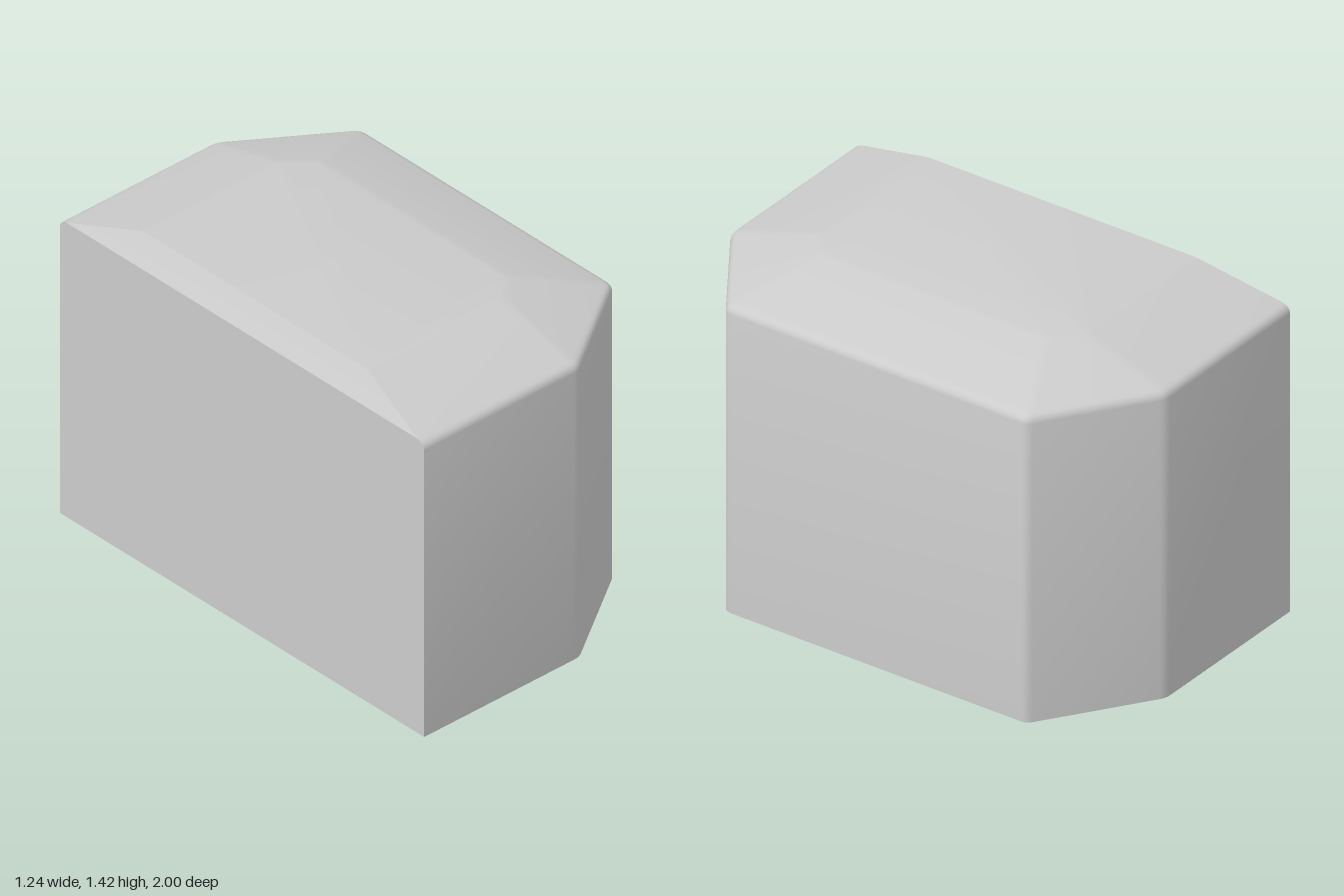
import * as THREE from 'three';
import { toCreasedNormals } from 'three/addons/utils/BufferGeometryUtils.js';

// Half outline of one level: flat side, front corner and chamfer corner, mirrored to the back
function ring({ y, xl = -0.62, zf, xb, xc, zc }) {
  const A = new THREE.Vector2(xl, zf), B = new THREE.Vector2(xb, zf);
  const C = new THREE.Vector2(xc, zc), D = new THREE.Vector2(xc, 0);
  const half = [A];
  // softened vertical corners
  for (const [p, q, r] of [[A, B, C], [B, C, D]]) {
    const s = q.clone().add(p.clone().sub(q).setLength(0.025));
    const e = q.clone().add(r.clone().sub(q).setLength(0.025));
    half.push(...new THREE.QuadraticBezierCurve(s, q, e).getPoints(3));
  }
  const back = half.map((p) => new THREE.Vector2(p.x, -p.y)).reverse();
  return [...half, ...back].map((p) => new THREE.Vector3(p.x, y, p.y));
}

// Skin stacked rings and close both ends
function loft(rings) {
  const pos = [];
  const tri = (...v) => v.forEach((p) => pos.push(p.x, p.y, p.z));
  const n = rings[0].length;
  for (let k = 0; k < rings.length - 1; k++) {
    const lo = rings[k], hi = rings[k + 1];
    for (let i = 0; i < n; i++) {
      const j = (i + 1) % n;
      tri(lo[i], lo[j], hi[j]);
      tri(lo[i], hi[j], hi[i]);
    }
  }
  const bottom = rings[0], top = rings[rings.length - 1];
  for (let i = 1; i < n - 1; i++) {
    tri(top[0], top[i], top[i + 1]);
    tri(bottom[0], bottom[i + 1], bottom[i]);
  }
  const geo = new THREE.BufferGeometry();
  geo.setAttribute('position', new THREE.Float32BufferAttribute(pos, 3));
  return toCreasedNormals(geo, 0.48);
}

export function createModel() {
  const group = new THREE.Group();
  group.name = 'chamferedBlock';

  // walls and rounded rim: [height, inset]
  const rim = [[0, 0], [1.285, 0], [1.297, 0.003], [1.308, 0.01], [1.315, 0.02], [1.32, 0.035]];
  const levels = rim.map(([y, d]) => ({
    y, zf: 1 - d, xb: 0.16 - d * 0.3, xc: 0.615 - d, zc: 0.69 - d * 0.3,
  }));
  // sloped roof up to the flat top
  levels.push({ y: 1.42, xl: -0.555, zf: 0.63, xb: 0.135, xc: 0.26, zc: 0.52 });
  levels.push({ y: 1.425, xl: -0.552, zf: 0.605, xb: 0.125, xc: 0.23, zc: 0.505 });

  const body = new THREE.Mesh(
    loft(levels.map(ring)),
    new THREE.MeshStandardMaterial({ color: 0xcccccc }),
  );
  body.name = 'body';
  group.add(body);
  return group;
}
